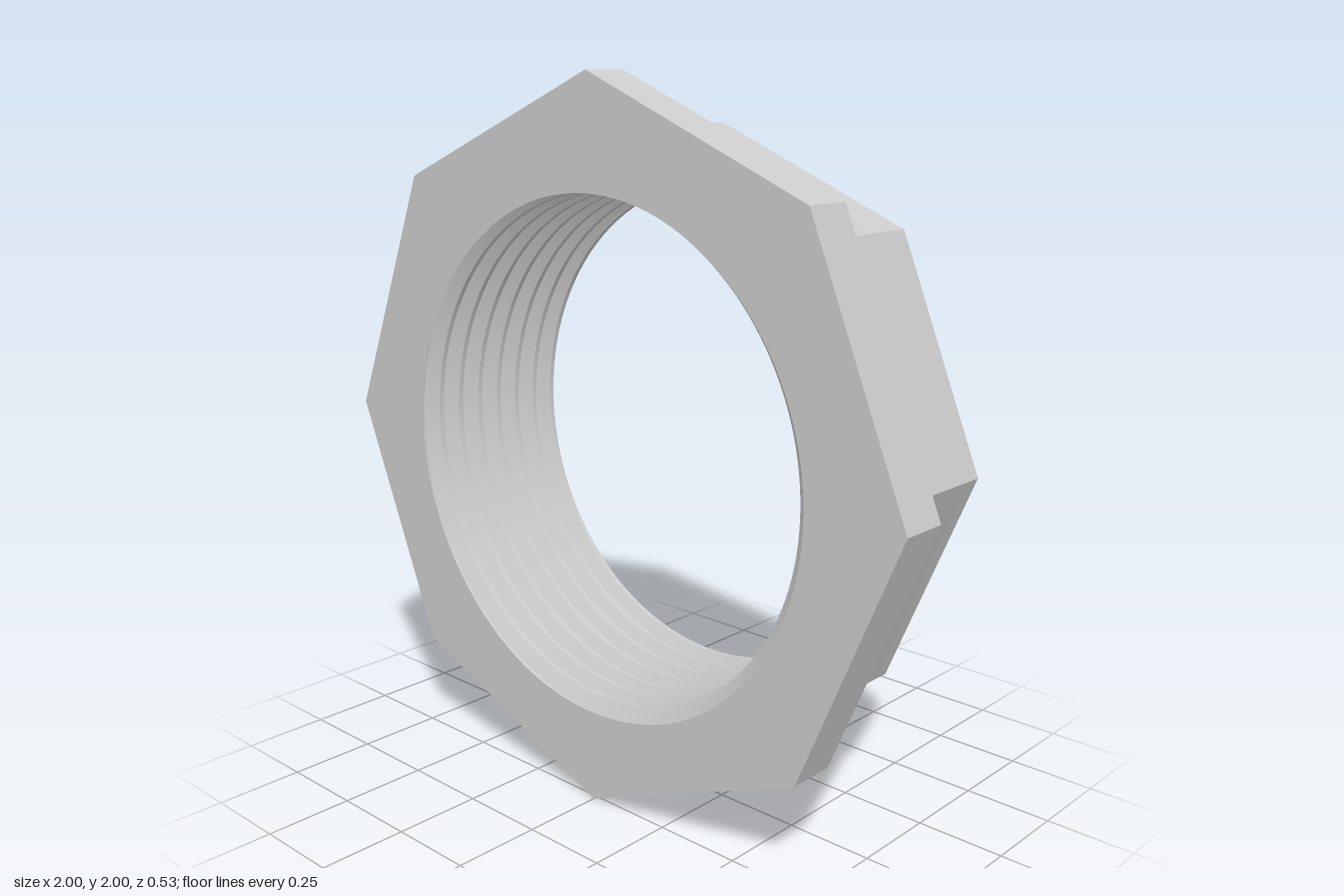
import * as THREE from 'three';
import { toCreasedNormals } from 'three/addons/utils/BufferGeometryUtils.js';

const HALF = 0.265, FLANGE_BACK = 0.13;      // depth along z
const FLANGE = Math.cos(Math.PI / 8);        // flange apothem (corner radius 1)
const FILLET = 0.13;
const CREST = 0.695, ROOT = 0.735, PITCH = 0.075;
const STEPS = 144, START = -Math.PI / 2;

// Radius of an octagon with corners on the axes
const octagon = (apothem, angle) => {
  const sector = Math.PI / 4;
  const local = angle - sector * Math.floor(angle / sector + 1e-9);
  return apothem / Math.cos(local - sector / 2);
};

// Radius of the helical thread at an angle and depth
const turn = (angle) => (angle - START) / (2 * Math.PI);
const threadRadius = (angle, z) => {
  const u = (z - HALF) / PITCH - turn(angle);
  const fromRoot = Math.abs(u - Math.round(u));
  const t = THREE.MathUtils.clamp((fromRoot - 0.06) / 0.34, 0, 1);
  return ROOT + (CREST - ROOT) * t;
};

// Skin rows of points around z; point(angle, row) gives [radius, z]
function ring(name, rows, point, material) {
  const at = (i, j) => {
    const angle = START + (i / STEPS) * 2 * Math.PI;
    const [r, z] = point(angle, j);
    return new THREE.Vector3(r * Math.cos(angle), r * Math.sin(angle), z);
  };
  const positions = [];
  const triangle = new THREE.Triangle();
  const add = (a, b, c) => {
    if (triangle.set(a, b, c).getArea() < 1e-9) return;
    for (const p of [a, b, c]) positions.push(p.x, p.y, p.z);
  };
  for (let i = 0; i < STEPS; i++) {
    for (let j = 0; j < rows - 1; j++) {
      const a = at(i, j), b = at(i + 1, j), c = at(i + 1, j + 1), d = at(i, j + 1);
      add(a, b, c);
      add(a, c, d);
    }
  }
  const geometry = new THREE.BufferGeometry();
  geometry.setAttribute('position', new THREE.Float32BufferAttribute(positions, 3));
  const mesh = new THREE.Mesh(toCreasedNormals(geometry, 0.4), material);
  mesh.name = name;
  return mesh;
}

export function createModel() {
  const group = new THREE.Group();
  group.name = 'octagonalNut';
  const material = new THREE.MeshStandardMaterial({ color: 0xcccccc });

  // Octagonal body, concave fillet and flange, from back to front
  const profile = [[FLANGE - FILLET, -HALF], [FLANGE - FILLET, -0.01]];
  for (let i = 0; i <= 12; i++) {
    const t = (i / 12) * Math.PI / 2;
    profile.push([FLANGE - FILLET * Math.cos(t), FLANGE_BACK * Math.sin(t)]);
  }
  profile.push([FLANGE, HALF]);
  group.add(ring('outerShell', profile.length, (angle, j) =>
    [octagon(profile[j][0], angle), profile[j][1]], material));

  // Flat end faces between the octagon and the thread
  group.add(ring('frontFace', 2, (angle, j) =>
    [j ? threadRadius(angle, HALF) : octagon(FLANGE, angle), HALF], material));
  group.add(ring('backFace', 2, (angle, j) =>
    [j ? octagon(FLANGE - FILLET, angle) : threadRadius(angle, -HALF), -HALF], material));

  // Helical thread, its rows trimmed at both end faces
  const helix = [];
  for (let k = 0; k >= -9; k--) {
    for (const b of [0.94, 0.6, 0.4, 0.06]) helix.push(k + b);
  }
  group.add(ring('threadedBore', helix.length, (angle, j) => {
    const z = THREE.MathUtils.clamp(HALF + PITCH * (helix[j] + turn(angle)), -HALF, HALF);
    return [threadRadius(angle, z), z];
  }, material));

  group.position.y = 1;
  return group;
}
